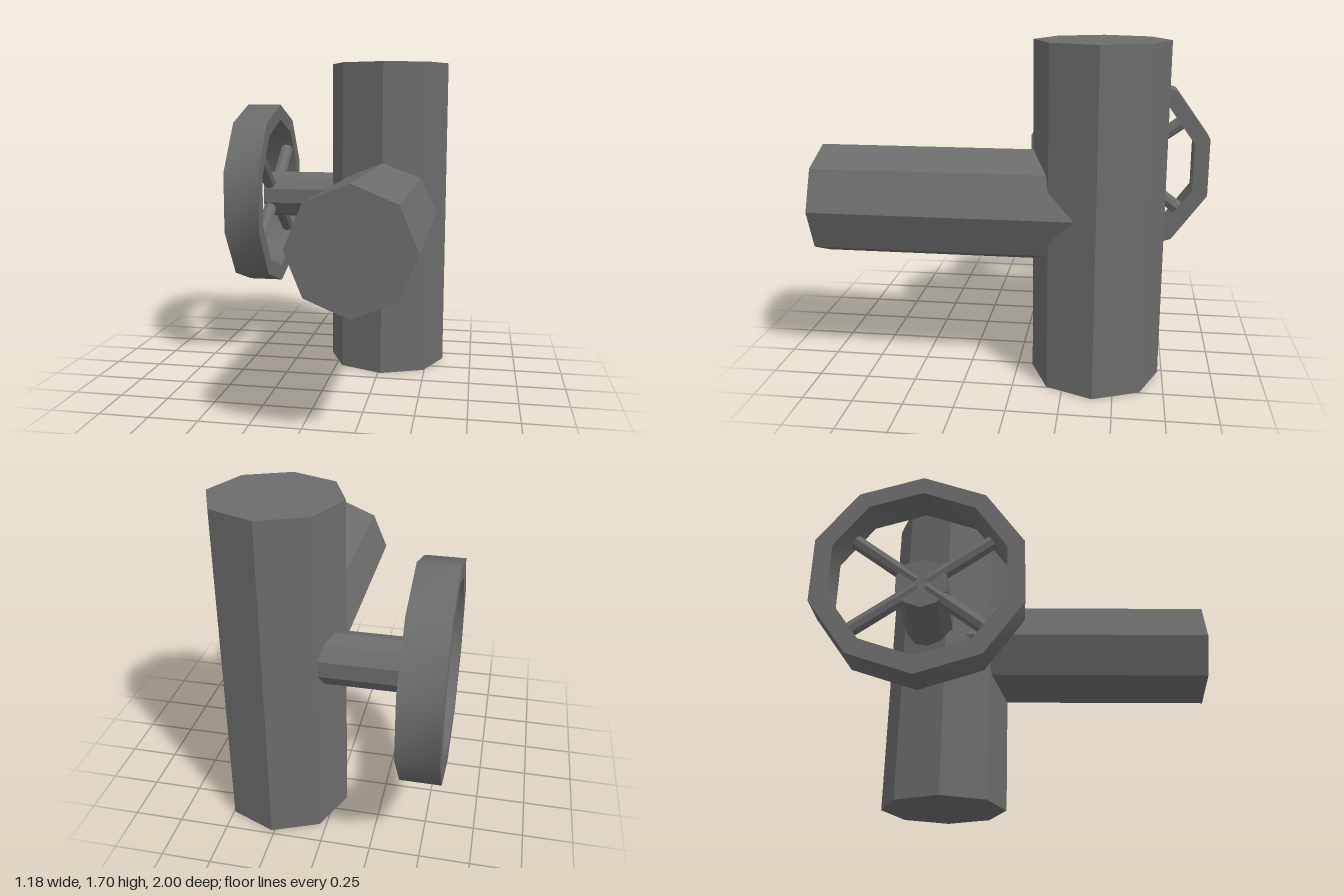
import * as THREE from 'three';
import { toCreasedNormals } from 'three/addons/utils/BufferGeometryUtils.js';

const WHEEL_Y = 0.942, WHEEL_Z = -0.495;

// Regular polygon with one corner at the top
function polygon(radius, sides) {
  return Array.from({ length: sides }, (_, i) => {
    const a = Math.PI / 2 + (i / sides) * Math.PI * 2;
    return new THREE.Vector2(radius * Math.cos(a), radius * Math.sin(a));
  });
}

// Faceted cylinder with hard edges along its sides
function prism(radius, length, sides, start = 0) {
  return toCreasedNormals(new THREE.CylinderGeometry(radius, radius, length, sides, 1, false, start), 0.3);
}

export function createModel() {
  const group = new THREE.Group();
  const metal = new THREE.MeshStandardMaterial({ color: 0x6c6c6c });
  metal.name = 'dark grey metal';

  function add(name, geometry, x, y, z, parent = group) {
    const mesh = new THREE.Mesh(geometry, metal);
    mesh.name = name;
    mesh.position.set(x, y, z);
    parent.add(mesh);
    return mesh;
  }

  // Upright pipe and the branch pipe running forward from it
  add('uprightPipe', prism(0.326, 1.7, 8), 0.265, 0.85, -0.403);
  add('branchPipe', prism(0.283, 1.4, 8).rotateX(Math.PI / 2), 0.265, 0.882, 0.3);

  // Handwheel on the side
  const wheel = new THREE.Group();
  wheel.name = 'handwheel';
  wheel.position.set(0, WHEEL_Y, WHEEL_Z);
  group.add(wheel);

  // Axle from inside the upright pipe to the middle of the wheel
  const axleEnd = -0.47, axleLength = 0.67;
  add('axle', prism(0.132, axleLength, 10, Math.PI / 2).rotateZ(Math.PI / 2),
    axleEnd + axleLength / 2, 0, 0, wheel);

  // Ten-sided rim, smooth around and sharp at its edges
  const ring = new THREE.Shape(polygon(0.531, 10));
  ring.holes.push(new THREE.Path(polygon(0.441, 10).reverse()));
  const rim = new THREE.ExtrudeGeometry(ring, { depth: 0.196, bevelEnabled: false });
  rim.rotateY(Math.PI / 2);
  add('rim', toCreasedNormals(rim, 0.9), -0.592, 0, 0, wheel);

  // Four spokes, 36 degrees above and below the horizontal
  const tilt = Math.PI / 5;
  for (const sz of [-1, 1]) {
    for (const sy of [-1, 1]) {
      const dir = new THREE.Vector3(0, sy * Math.sin(tilt), sz * Math.cos(tilt));
      const spoke = add('spoke', prism(0.038, 0.39, 8), -0.44, dir.y * 0.227, dir.z * 0.227, wheel);
      spoke.quaternion.setFromUnitVectors(new THREE.Vector3(0, 1, 0), dir);
    }
  }

  return group;
}
